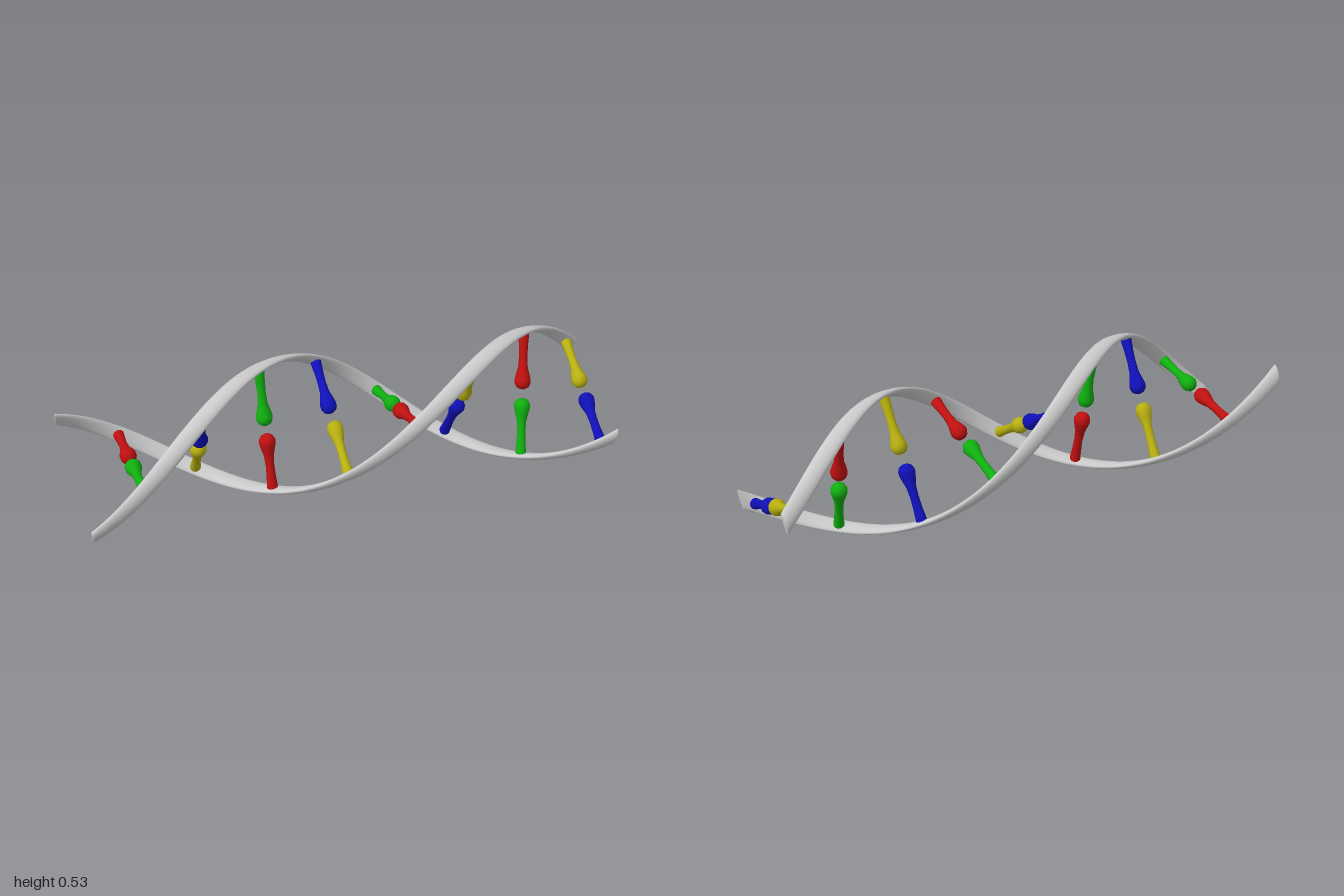
import * as THREE from 'three';

const RADIUS = 0.237;        // helix radius
const HALF_LENGTH = 0.985;   // axis runs from -x to +x

// Frame on the gently arched axis: centre, radial and circumferential directions.
function frameAt(x, offset) {
  const phi = THREE.MathUtils.degToRad(-82 + 190.4 * (x + 0.78)) + offset;
  const slope = -0.15 * (x + 0.07);
  const centre = new THREE.Vector3(x, 0.285 - 0.075 * (x + 0.07) ** 2, 0);
  const up = new THREE.Vector3(-slope, 1, 0).normalize();
  const side = new THREE.Vector3(0, 0, 1);
  const mix = (a, b) => up.clone().multiplyScalar(a).addScaledVector(side, b);
  return {
    centre,
    radial: mix(Math.cos(phi), -Math.sin(phi)),
    around: mix(-Math.sin(phi), -Math.cos(phi)),
  };
}

// Flat lens-shaped ribbon swept along the helix, with closed ends.
function strandGeometry(offset) {
  const steps = 120, sides = 16, halfThick = 0.0125, halfWide = 0.038;
  const pos = [], index = [];
  const ring = (i) => {
    const f = frameAt(-HALF_LENGTH + (2 * HALF_LENGTH * i) / steps, offset);
    for (let j = 0; j < sides; j++) {
      const a = (j / sides) * Math.PI * 2;
      const w = halfWide * Math.sin(a);
      // bend the section so that it follows the circle
      const r = RADIUS + halfThick * Math.cos(a) - (w * w) / (2 * RADIUS);
      const p = f.centre.clone().addScaledVector(f.radial, r).addScaledVector(f.around, w);
      pos.push(p.x, p.y, p.z);
    }
  };
  for (let i = 0; i <= steps; i++) ring(i);
  for (let i = 0; i < steps; i++) {
    for (let j = 0; j < sides; j++) {
      const k = (j + 1) % sides;
      const a = i * sides + j, b = a + sides, c = (i + 1) * sides + k, d = i * sides + k;
      index.push(a, b, c, a, c, d);
    }
  }
  // end caps on their own vertices to keep the rims sharp
  for (const end of [0, steps]) {
    const base = pos.length / 3;
    ring(end);
    for (let j = 1; j < sides - 1; j++) {
      if (end === 0) index.push(base, base + j, base + j + 1);
      else index.push(base, base + j + 1, base + j);
    }
  }
  const g = new THREE.BufferGeometry();
  g.setAttribute('position', new THREE.Float32BufferAttribute(pos, 3));
  g.setIndex(index);
  g.computeVertexNormals();
  return g;
}

export function createModel() {
  const model = new THREE.Group();
  model.name = 'doubleHelix';
  const material = (color) => new THREE.MeshStandardMaterial({ color });
  const grey = material(0xcccccc);
  const red = material(0xc01010), green = material(0x10b010);
  const blue = material(0x1010b8), yellow = material(0xb8b010);

  // Two opposite strands
  [0, Math.PI].forEach((offset, s) => {
    const strand = new THREE.Mesh(strandGeometry(offset), grey);
    strand.name = s ? 'secondStrand' : 'firstStrand';
    model.add(strand);
  });

  // Half rung: rounded knob near the axis, slim stem out to the strand
  const profile = [
    [0, 0.017], [0.012, 0.019], [0.023, 0.026], [0.03, 0.04], [0.03, 0.053],
    [0.025, 0.074], [0.018, 0.1], [0.0155, 0.14], [0.017, 0.185], [0.021, 0.235],
  ].map(([r, d]) => new THREE.Vector2(r, d));
  const halfRung = new THREE.LatheGeometry(profile, 12);
  const yAxis = new THREE.Vector3(0, 1, 0);

  // Eight rungs, alternating the two colour pairs
  for (let i = 0; i < 8; i++) {
    const rung = new THREE.Group();
    rung.name = 'rung' + (i + 1);
    const pair = i % 2 ? [blue, yellow] : [green, red];
    pair.forEach((mat, s) => {
      const f = frameAt(-0.78 + i * 0.246, s * Math.PI);
      const half = new THREE.Mesh(halfRung, mat);
      half.name = s ? 'secondHalfRung' : 'firstHalfRung';
      half.position.copy(f.centre);
      half.quaternion.setFromUnitVectors(yAxis, f.radial);
      rung.add(half);
    });
    model.add(rung);
  }
  return model;
}
